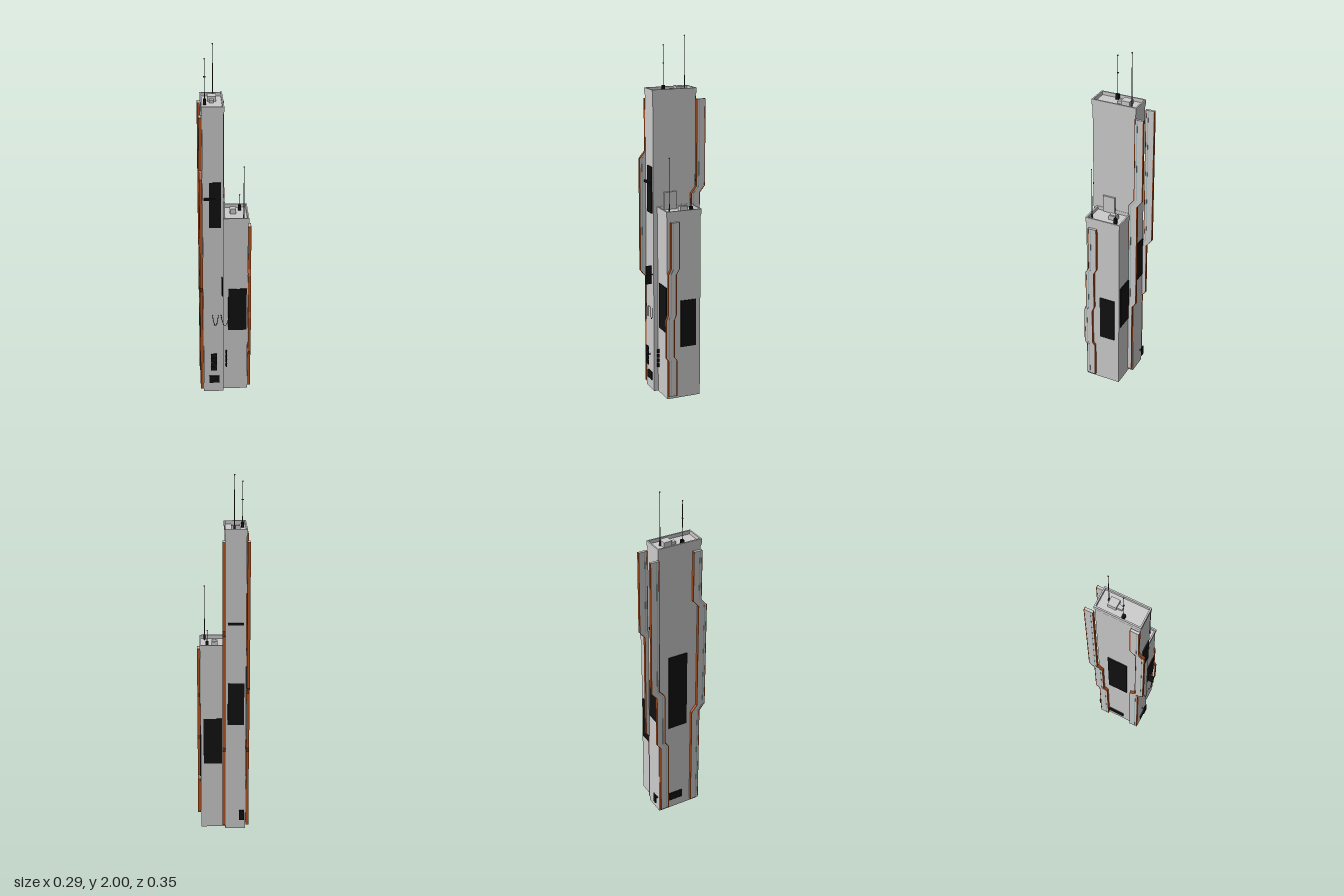
import * as THREE from 'three';

const mat = (color) => new THREE.MeshStandardMaterial({ color, side: THREE.DoubleSide });

export function createModel() {
  const model = new THREE.Group();
  const grey = mat(0xcccccc), black = mat(0x111111), orange = mat(0xb5521f);
  const teal = mat(0x7fb0b8), red = mat(0xa02020), metal = mat(0x444444);

  const add = (name, geometry, material) => {
    const mesh = new THREE.Mesh(geometry, material);
    mesh.name = name;
    model.add(mesh);
    return mesh;
  };
  // Box given by its lower and upper bounds on each axis
  const block = (name, x0, x1, y0, y1, z0, z1, material = grey) =>
    add(name, new THREE.BoxGeometry(x1 - x0, y1 - y0, z1 - z0), material)
      .position.set((x0 + x1) / 2, (y0 + y1) / 2, (z0 + z1) / 2);

  // Tower body with a sunken roof inside a flared parapet
  const tower = (name, x0, x1, z0, z1, top) => {
    block(name + 'Body', x0, x1, 0, top - 0.02, z0, z1);
    const ring = (label, out, inset, y, height) => {
      const rect = (target, d) => {
        target.moveTo(x0 - d, -z0 + d);
        target.lineTo(x1 + d, -z0 + d);
        target.lineTo(x1 + d, -z1 - d);
        target.lineTo(x0 - d, -z1 - d);
        target.closePath();
        return target;
      };
      const shape = rect(new THREE.Shape(), out);
      shape.holes.push(rect(new THREE.Path(), -inset));
      const g = new THREE.ExtrudeGeometry(shape, { depth: height, bevelEnabled: false });
      g.rotateX(-Math.PI / 2).translate(0, y, 0);
      add(name + label, g, grey);
    };
    ring('Cornice', 0.002, 0.004, top - 0.038, 0.01);
    ring('Parapet', 0.004, 0.004, top - 0.028, 0.028);
  };
  tower('tallTower', -0.125, -0.012, -0.12, 0.13, 1.72);
  tower('shortTower', -0.014, 0.124, -0.093, 0.105, 1.08);

  // Roof equipment and the door housing above the short roof
  block('tallRoofUnit', -0.091, -0.043, 1.69, 1.728, -0.068, -0.02);
  block('tallRoofVent', -0.082, -0.059, 1.69, 1.715, -0.02, 0.008);
  block('shortRoofUnit', 0.029, 0.063, 1.05, 1.085, -0.045, 0);
  block('shortRoofUnitLid', 0.036, 0.057, 1.085, 1.088, -0.04, -0.005);
  block('roofDoorHousing', -0.014, -0.002, 1.05, 1.158, -0.003, 0.068);

  // Masts: tapered pole, base and tip lamp
  const mast = (x, z, base, top, boxed) => {
    const pole = new THREE.CylinderGeometry(0.0015, 0.003, top - base, 6);
    add('mastPole', pole, metal).position.set(x, (base + top) / 2, z);
    const r = 0.008;
    if (boxed) block('mastBase', x - r, x + r, base, base + 0.03, z - r, z + r, black);
    else add('mastBase', new THREE.CylinderGeometry(0.005, 0.005, 0.03, 8), metal)
      .position.set(x, base + 0.015, z);
    add('mastLamp', new THREE.SphereGeometry(0.004, 8, 6), boxed ? red : orange)
      .position.set(x, top - 0.004, z);
  };
  mast(-0.107, 0.03, 1.7, 1.95, true);
  mast(-0.06, -0.074, 1.7, 2, false);
  mast(0.1, 0.082, 1.06, 1.37, false);
  mast(0.086, -0.052, 1.06, 1.155, true);
  block('mastCrossArm', -0.113, -0.101, 1.847, 1.852, 0.027, 0.033, metal);

  // Stepped fins: side profile from [height, back edge] points, orange end plates
  const slab = (name, path, a, b, x, width, material) => {
    const shape = new THREE.Shape([
      ...path.map(([y, z]) => new THREE.Vector2(z + a, y)),
      ...path.map(([y, z]) => new THREE.Vector2(z + b, y)).reverse(),
    ]);
    const g = new THREE.ExtrudeGeometry(shape, { depth: width, bevelEnabled: false });
    g.rotateY(-Math.PI / 2).translate(x + width / 2, 0, 0);
    add(name, g, material);
  };
  const fin = (name, x, path, strip) => {
    const w = 0.051, t = 0.004;
    slab(name + 'Core', path, t, w - t, x, 0.014, grey);
    slab(name + 'BackEdge', path, 0, t, x, 0.016, orange);
    slab(name + 'FrontEdge', path, w - t, w, x, 0.016, orange);
    slab(name + 'Strip', path, strip, strip + 0.003, x, 0.016, teal);
  };
  fin('frontTallFin', -0.135,
    [[0.02, 0.08], [0.65, 0.08], [0.69, 0.113], [1.33, 0.113], [1.37, 0.08], [1.66, 0.08]], 0.035);
  fin('backTallFin', -0.135,
    [[0.02, -0.118], [0.47, -0.118], [0.5, -0.141], [0.82, -0.141], [0.86, -0.174], [1.66, -0.174]], 0.035);
  fin('innerTallFin', -0.004,
    [[0.02, -0.118], [0.47, -0.118], [0.5, -0.141], [1.14, -0.141], [1.18, -0.172], [1.66, -0.172]], 0.035);
  fin('shortFin', 0.134,
    [[0.02, 0.052], [0.23, 0.052], [0.25, 0.067], [0.47, 0.067], [0.5, 0.055],
      [0.73, 0.055], [0.76, 0.038], [1.02, 0.038]], 0.033);

  // Dark wall panels
  block('tallFrontPanel', -0.09, -0.026, 1.04, 1.3, 0.128, 0.136, black);
  block('tallBackPanel', -0.115, -0.025, 0.63, 0.87, -0.125, -0.118, black);
  block('tallSidePanel', -0.13, -0.123, 0.58, 1.05, -0.06, 0.055, black);
  block('shortFrontPanel', 0.015, 0.118, 0.39, 0.65, 0.103, 0.11, black);
  block('shortBackPanel', 0.005, 0.108, 0.39, 0.655, -0.098, -0.091, black);
  block('shortSidePanel', 0.122, 0.129, 0.3, 0.57, -0.065, 0.025, black);
  block('lowFrontPanel', -0.095, -0.035, 0.06, 0.105, 0.128, 0.137, black);
  block('lowSidePanel', -0.131, -0.123, 0.055, 0.105, -0.065, 0.03, black);
  block('frontBar', -0.12, -0.026, 1.2, 1.212, 0.13, 0.14, black);
  block('backBar', -0.11, -0.025, 1.2, 1.212, -0.127, -0.12, black);

  // Signs held off the walls, and lanterns on the short tower
  for (let i = 0; i < 4; i++) {
    const y = 0.152 + i * 0.028;
    block('stackedSign', -0.085, -0.05, y, y + 0.024, 0.147, 0.152, black);
    block('lantern', 0.001, 0.009, y, y + 0.02, 0.105, 0.118, black);
  }
  block('stackedSignPost', -0.07, -0.065, 0.15, 0.26, 0.143, 0.147, metal);
  block('stackedSignArm', -0.07, -0.065, 0.203, 0.209, 0.13, 0.147, metal);
  block('bladeSign', -0.024, -0.018, 0.64, 0.745, 0.14, 0.174, black);
  block('bladeSignArm', -0.023, -0.019, 0.69, 0.696, 0.13, 0.14, metal);
  block('backSign', -0.117, -0.09, 0.06, 0.12, -0.141, -0.136, black);
  block('backSignArm', -0.106, -0.101, 0.085, 0.095, -0.136, -0.12, metal);

  // Cables sagging across the front
  for (const [x0, x1] of [[-0.075, -0.042], [-0.028, 0.018]]) {
    const curve = new THREE.QuadraticBezierCurve3(
      new THREE.Vector3(x0, 0.51, 0.147),
      new THREE.Vector3((x0 + x1) / 2, 0.37, 0.147),
      new THREE.Vector3(x1, 0.51, 0.147));
    add('cable', new THREE.TubeGeometry(curve, 12, 0.0015, 5), black);
  }
  return model;
}
